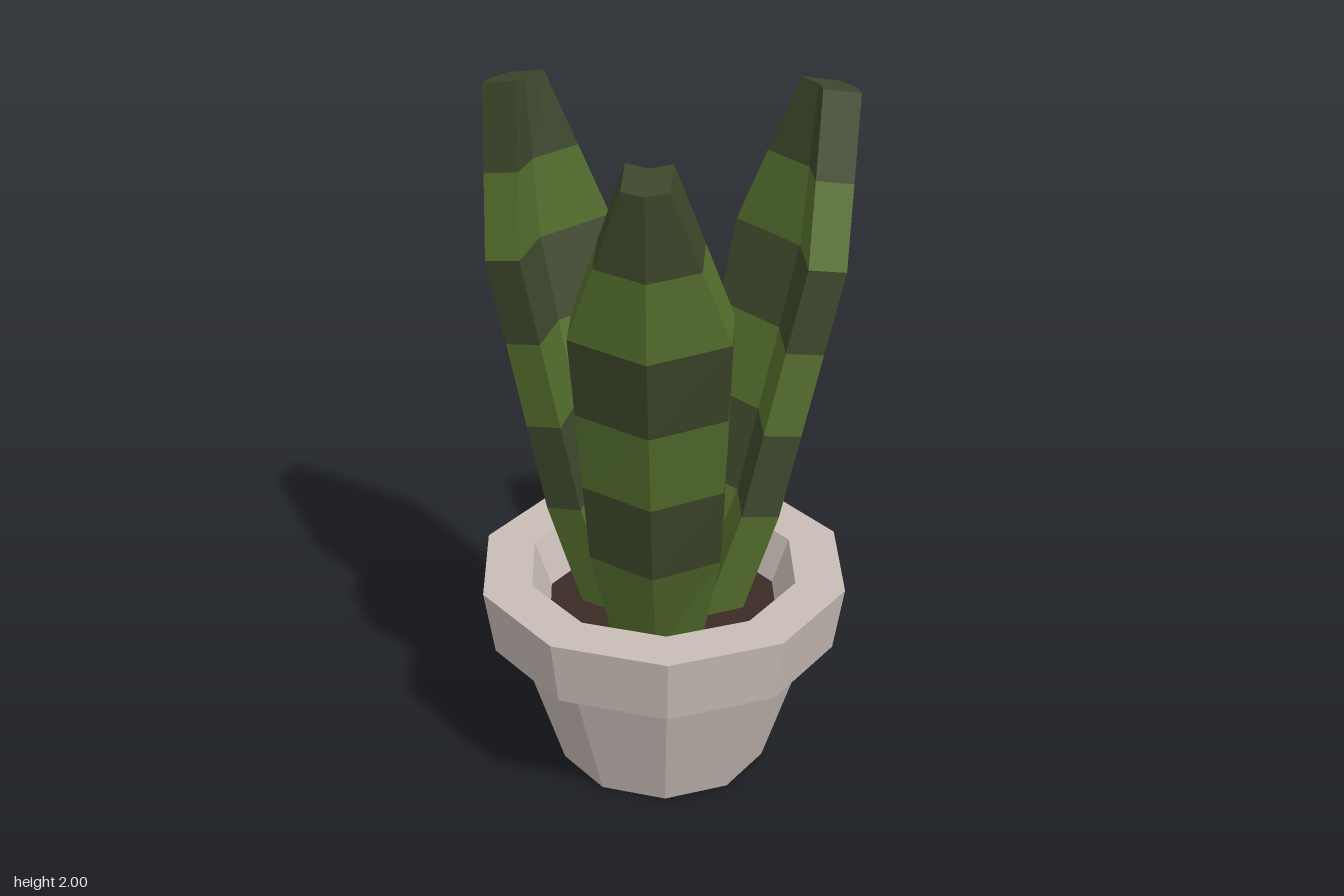
import * as THREE from 'three';

const material = (color) => new THREE.MeshStandardMaterial({ color, flatShading: true });

const CENTRE_X = 0.03; // the pot axis sits slightly off the overall centre
const THICKNESS = 0.12;
const TILT = 0.24; // drop of each leaf ring towards its outer side

// Main leaf sections: height, distance of inner edges from the axis, half width, fold depth
const SECTIONS = [
  [0.47, 0.07, 0.12, 0.02],
  [0.82, 0.16, 0.18, 0.08],
  [1.555, 0.33, 0.21, 0.09],
  [2.0, 0.44, 0.06, 0.02],
];

// Heights where the stripes change colour
const STRIPES = [0.47, 0.82, 1.07, 1.315, 1.555, 1.775, 2.0];

// Six-cornered folded section of a leaf leaning towards +x
function leafRing(y) {
  let i = 0;
  while (i < SECTIONS.length - 2 && y > SECTIONS[i + 1][0]) i++;
  const a = SECTIONS[i], b = SECTIONS[i + 1];
  const t = (y - a[0]) / (b[0] - a[0]);
  const [, inner, width, fold] = a.map((v, k) => THREE.MathUtils.lerp(v, b[k], t));
  return [
    [fold, 0], [0, width], [THICKNESS, width],
    [THICKNESS + fold, 0], [THICKNESS, -width], [0, -width],
  ].map(([u, w]) => [inner + u, y - TILT * u, w]);
}

// One stripe between two rings, closed at the tip when asked
function stripeGeometry(y0, y1, capped) {
  const positions = [...leafRing(y0), ...leafRing(y1)].flat();
  const index = [];
  for (let i = 0; i < 6; i++) {
    const j = (i + 1) % 6;
    index.push(i, j, j + 6, i, j + 6, i + 6);
  }
  if (capped) index.push(6, 7, 8, 6, 8, 9, 6, 9, 10, 6, 10, 11);
  const geometry = new THREE.BufferGeometry();
  geometry.setAttribute('position', new THREE.Float32BufferAttribute(positions, 3));
  geometry.setIndex(index);
  geometry.computeVertexNormals();
  return geometry;
}

function lathe(name, profile, mat) {
  const points = profile.map(([r, y]) => new THREE.Vector2(r, y));
  const mesh = new THREE.Mesh(new THREE.LatheGeometry(points, 10), mat);
  mesh.name = name;
  mesh.position.x = CENTRE_X;
  return mesh;
}

export function createModel() {
  const model = new THREE.Group();
  model.name = 'pottedPlant';

  // Ten-sided pot with an overhanging rim
  model.add(lathe('pot', [
    [0, 0], [0.31, 0], [0.44, 0.42], [0.51, 0.42],
    [0.54, 0.615], [0.395, 0.615], [0.345, 0.48],
  ], material(0xc8bcb6)));
  model.add(lathe('soil', [[0.345, 0.48], [0, 0.48]], material(0x3a2a25)));

  // Three striped leaves spread evenly around the pot
  const stripeMaterials = [material(0x546e2d), material(0x3d472b)];
  const stripes = STRIPES.slice(1).map((y, i) =>
    stripeGeometry(STRIPES[i], y, i === STRIPES.length - 2));
  for (const angle of [Math.PI, Math.PI / 3, -Math.PI / 3]) {
    const leaf = new THREE.Group();
    leaf.name = 'leaf';
    leaf.position.x = CENTRE_X;
    leaf.rotation.y = angle;
    stripes.forEach((geometry, i) => {
      const stripe = new THREE.Mesh(geometry, stripeMaterials[i % 2]);
      stripe.name = i % 2 ? 'darkStripe' : 'lightStripe';
      leaf.add(stripe);
    });
    model.add(leaf);
  }
  return model;
}
